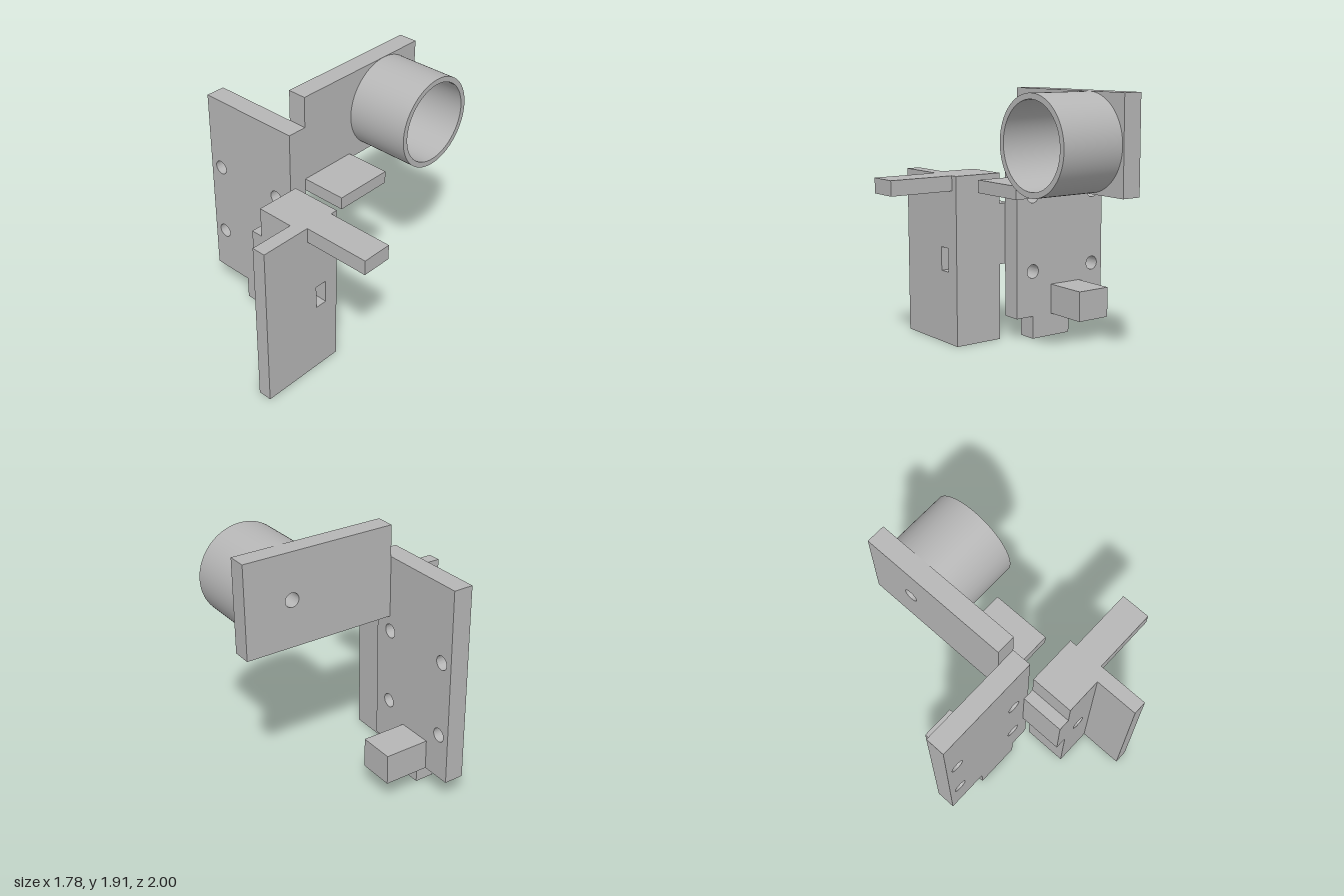
import * as THREE from 'three';
import { toCreasedNormals } from 'three/addons/utils/BufferGeometryUtils.js';

export function createModel() {
  const model = new THREE.Group();
  model.name = 'bracketAssembly';
  const grey = new THREE.MeshStandardMaterial({ color: 0xb6b6b6 });
  grey.name = 'plainGrey';

  const add = (parent, name, geometry) => {
    const mesh = new THREE.Mesh(geometry, grey);
    mesh.name = name;
    parent.add(mesh);
    return mesh;
  };
  const group = (name) => {
    const g = new THREE.Group();
    g.name = name;
    model.add(g);
    return g;
  };
  // Box given by its limits on each axis
  const box = (parent, name, [x0, x1], [y0, y1], [z0, z1]) => {
    const g = new THREE.BoxGeometry(x1 - x0, y1 - y0, z1 - z0);
    g.translate((x0 + x1) / 2, (y0 + y1) / 2, (z0 + z1) / 2);
    return add(parent, name, g);
  };
  const outline = (pts) => new THREE.Shape(pts.map(([x, y]) => new THREE.Vector2(x, y)));
  const rect = (x0, x1, y0, y1) => outline([[x0, y0], [x1, y0], [x1, y1], [x0, y1]]);
  const drill = (shape, x, y, r) => {
    shape.holes.push(new THREE.Path().absarc(x, y, r, 0, Math.PI * 2, true));
    return shape;
  };
  // Extrusion between two depths, smooth on curves and sharp at edges
  const slab = (shape, from, to) => {
    const g = new THREE.ExtrudeGeometry(shape, { depth: to - from, bevelEnabled: false, curveSegments: 40 });
    g.translate(0, 0, from);
    return toCreasedNormals(g, 0.6);
  };

  // Mounting plate with bottom tab and four screw holes
  const mount = group('mountingPlate');
  const plate = outline([
    [-0.89, 0.175], [-0.56, 0.175], [-0.56, 0], [-0.21, 0],
    [-0.21, 0.175], [-0.06, 0.175], [-0.06, 1.68], [-0.89, 1.68],
  ]);
  for (const x of [-0.79, -0.21]) for (const y of [0.525, 1.103]) drill(plate, x, y, 0.053);
  add(mount, 'plate', slab(plate, 0.17, 0.32));
  box(mount, 'rearBlock', [-0.66, -0.385], [0.175, 0.405], [-0.175, 0.17]);

  // Side arm and cup, drawn in the (-z, y) plane and extruded along x
  const holder = group('cupHolder');
  const arm = drill(rect(-0.17, 1, 1.22, 1.915), 0.64, 1.57, 0.053);
  add(holder, 'sideArm', slab(arm, -0.205, -0.06).rotateY(Math.PI / 2));
  const ring = new THREE.Shape().absarc(0.643, 1.57, 0.344, 0, Math.PI * 2, false);
  drill(ring, 0.643, 1.57, 0.303);
  add(holder, 'cup', slab(ring, -0.06, 0.43).rotateY(Math.PI / 2));
  box(holder, 'shelf', [-0.06, 0.287], [1.165, 1.26], [-0.29, 0.17]);

  // Column in layers: solid back, nut slot, bolt hole
  const column = group('column');
  const L = -0.01, R = 0.38, H = 1.278;
  box(column, 'columnBack', [L, R], [0, H], [0.32, 0.43]);
  const slotted = outline([
    [L, 0], [R, 0], [R, 0.55], [0.11, 0.55], [0.045, 0.588],
    [0.045, 0.692], [0.11, 0.73], [R, 0.73], [R, H], [L, H],
  ]);
  add(column, 'nutSlotLayer', slab(slotted, 0.43, 0.525));
  const drilled = drill(rect(L, R, 0, H), 0.135, 0.64, 0.053);
  add(column, 'boltHoleLayer', slab(drilled, 0.525, 0.66));
  box(column, 'frontFlange', [0.275, R], [0, H], [0.66, 1]);
  box(column, 'sidePad', [-0.1, L], [0.582, 1.047], [0.32, 0.66]);
  box(column, 'leverArm', [R, 0.89], [1.165, H], [0.375, 0.605]);

  return model;
}
